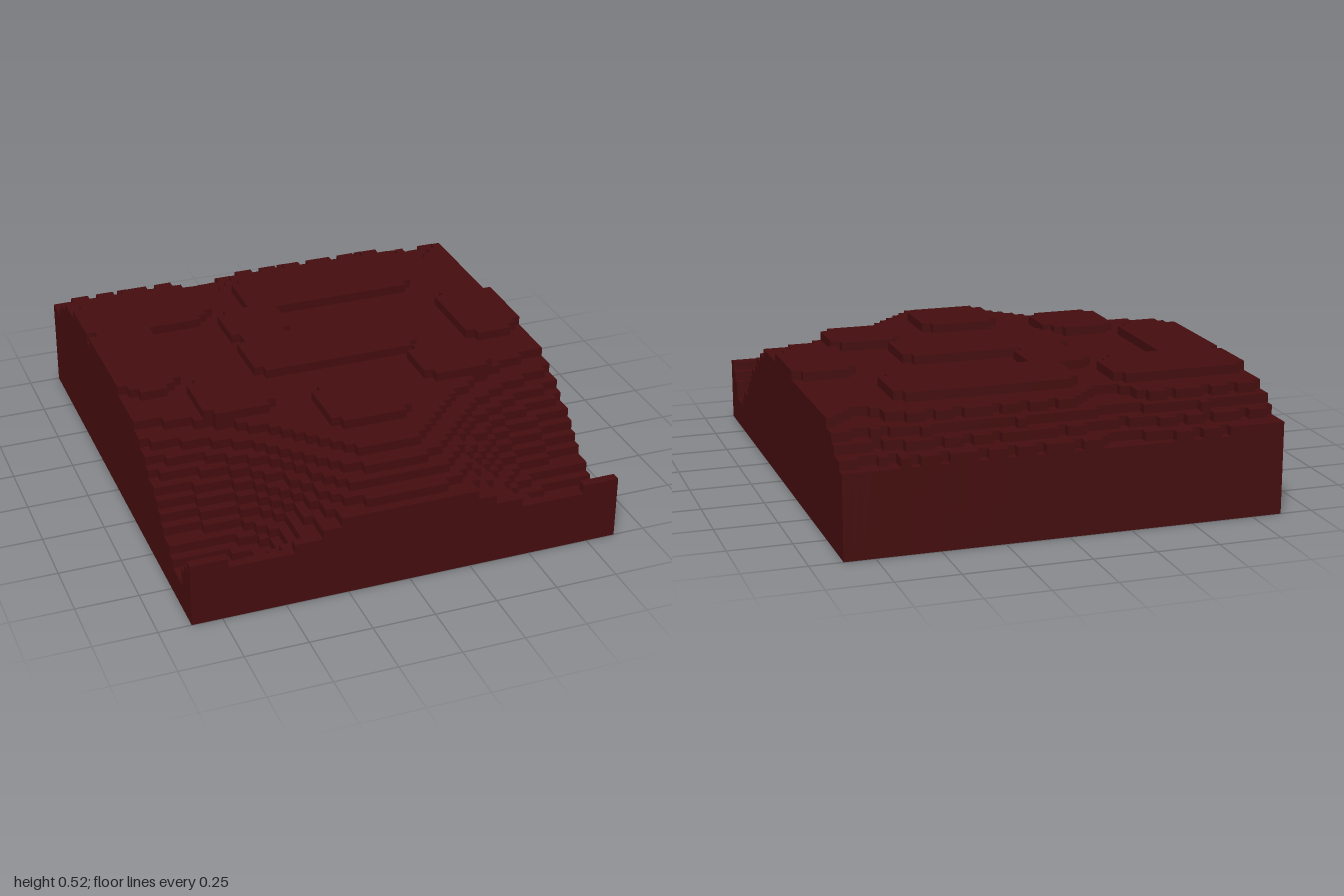
import * as THREE from 'three';

const NX = 47, NZ = 54, S = 2 / NZ; // columns across, columns deep, cube size

// Ground profile from back to front: [z, level in cubes]
const PROFILE = [[-1, 9.4], [-0.92, 10.4], [-0.8, 12.6], [-0.66, 13.2], [0.6, 13.3],
  [0.75, 12.7], [0.85, 11.5], [0.9, 10.5], [0.96, 9.5], [1, 9]];

// Raised flat plates: [x0, x1, z0, z1]
const PLATES = [
  [-0.17, 0.17, 0.34, 0.63], [-0.61, -0.32, 0.12, 0.41], [0.32, 0.61, 0.14, 0.41],
  [-0.31, 0.39, -0.15, 0.14], [-0.31, -0.06, -0.41, -0.13], [-0.17, 0.57, -0.67, -0.38],
  [-0.87, -0.32, -0.67, -0.38], [-0.87, -0.61, -0.4, 0.13], [0.6, 0.87, -0.26, 0.13],
];

function profile(z) {
  for (let i = 1; i < PROFILE.length; i++) {
    const [z0, a] = PROFILE[i - 1], [z1, b] = PROFILE[i];
    if (z <= z1) return a + (b - a) * (z - z0) / (z1 - z0);
  }
  return 9;
}

// Plate outline with clipped corners
function onPlate(x, z) {
  return PLATES.some(([x0, x1, z0, z1]) => {
    const dx = Math.min(x - x0, x1 - x), dz = Math.min(z - z0, z1 - z);
    return dx > 0 && dz > 0 && dx + dz > 0.06;
  });
}

// Height of one column, in cubes
function level(i, k) {
  if (i < 0 || k < 0 || i >= NX || k >= NZ) return 0;
  const x = (i + 0.5 - NX / 2) * S, z = (k + 0.5 - NZ / 2) * S;
  let h = profile(z);
  // hollows in both front corners, leaving a rim along the front
  const d = Math.max(0, 0.87 - Math.abs(x));
  const spread = z < 0.82 ? Math.max(0.15, 0.35 - 0.24 * d) : 0.13 + 0.12 * d;
  h -= 9 * Math.exp(-((d / 0.52) ** 4) - ((z - 0.82) / spread) ** 2);
  // shallow gullies on the back slope
  if (z < -0.66) {
    for (const c of [-0.25, 0.75]) h -= 0.8 * Math.exp(-(((x - c) / 0.1) ** 2));
    h += 0.2 * Math.sin(i * 1.9 + k * 2.3);
  }
  const n = Math.round(h);
  return n === 13 && onPlate(x, z) ? 14 : n;
}

// Outer skin of the stepped columns
function terrainGeometry() {
  const pos = [];
  const quad = (a, b, c, d) => pos.push(...a, ...b, ...c, ...a, ...c, ...d);
  for (let i = 0; i < NX; i++) {
    for (let k = 0; k < NZ; k++) {
      const x0 = (i - NX / 2) * S, x1 = x0 + S, z0 = (k - NZ / 2) * S, z1 = z0 + S;
      const n = level(i, k), y = n * S;
      quad([x0, y, z1], [x1, y, z1], [x1, y, z0], [x0, y, z0]);
      // side walls only where the neighbour is lower
      const sides = [
        [1, 0, [x1, z1], [x1, z0]], [-1, 0, [x0, z0], [x0, z1]],
        [0, 1, [x0, z1], [x1, z1]], [0, -1, [x1, z0], [x0, z0]],
      ];
      for (const [di, dk, p, q] of sides) {
        const m = level(i + di, k + dk), b = m * S;
        if (m < n) quad([p[0], b, p[1]], [q[0], b, q[1]], [q[0], y, q[1]], [p[0], y, p[1]]);
      }
    }
  }
  // flat underside
  const w = NX * S / 2;
  quad([-w, 0, -1], [w, 0, -1], [w, 0, 1], [-w, 0, 1]);
  const g = new THREE.BufferGeometry();
  g.setAttribute('position', new THREE.Float32BufferAttribute(pos, 3));
  g.computeVertexNormals();
  return g;
}

export function createModel() {
  const darkRed = new THREE.MeshStandardMaterial({ color: 0x450d0e });
  darkRed.name = 'darkRed';
  const group = new THREE.Group();
  group.name = 'steppedBlock';
  const terrain = new THREE.Mesh(terrainGeometry(), darkRed);
  terrain.name = 'steppedTerrain';
  group.add(terrain);
  return group;
}
